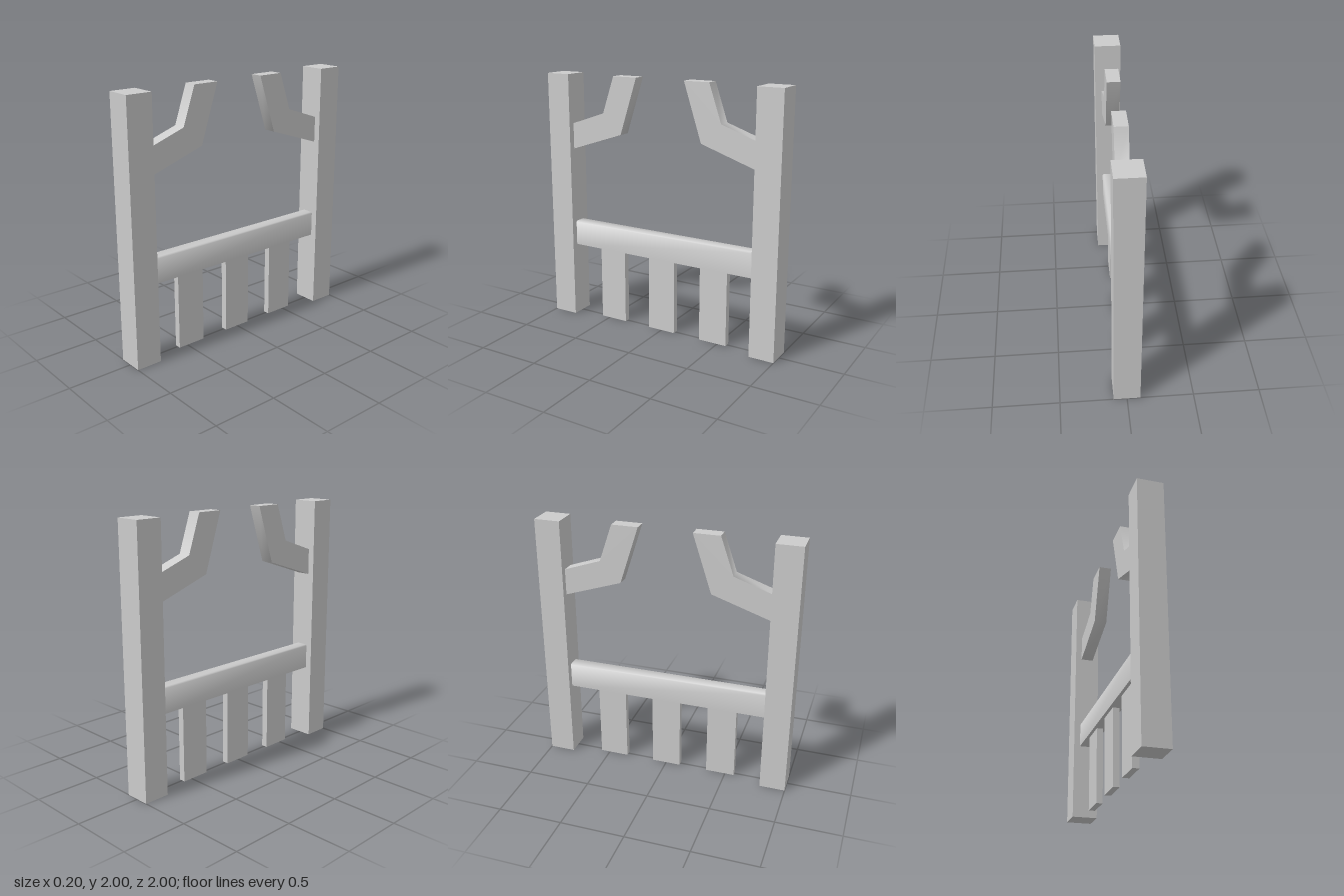
import * as THREE from 'three';
import { toCreasedNormals } from 'three/addons/utils/BufferGeometryUtils.js';

const grey = new THREE.MeshStandardMaterial({ color: 0xcccccc });

function add(group, name, geometry, x = 0, y = 0, z = 0) {
  const mesh = new THREE.Mesh(geometry, grey);
  mesh.name = name;
  mesh.position.set(x, y, z);
  group.add(mesh);
  return mesh;
}

// Prism from a 2D outline, centred along its depth, smooth over gentle bends
function prism(points, depth) {
  const shape = new THREE.Shape(points.map(([a, b]) => new THREE.Vector2(a, b)));
  const geometry = new THREE.ExtrudeGeometry(shape, { depth, bevelEnabled: false });
  geometry.translate(0, 0, -depth / 2);
  return toCreasedNormals(geometry, 1);
}

export function createModel() {
  const model = new THREE.Group();
  model.name = 'gateFrame';

  // Bent arm outline as (z, y), turned so its thickness runs along x
  const armGeometry = prism([
    [0.8, 1.405], [0.8, 1.61], [0.51, 1.71], [0.41, 2], [0.205, 2], [0.35, 1.555],
  ], 0.1).rotateY(-Math.PI / 2);

  // End posts, each with a bent arm reaching inward and up
  for (const [side, s] of [['front', 1], ['back', -1]]) {
    add(model, side + 'Post', new THREE.BoxGeometry(0.2, 2, 0.2), 0, 1, 0.9 * s);
    const arm = add(model, side + 'Arm', armGeometry);
    if (s < 0) arm.rotation.y = Math.PI;
  }

  // Cross rail with softened top edges
  add(model, 'rail', prism([
    [-0.05, 0.6], [0.05, 0.6], [0.05, 0.79], [0.04, 0.8], [-0.04, 0.8], [-0.05, 0.79],
  ], 1.6));

  // Thin slats below the rail
  for (const i of [-1, 0, 1]) {
    add(model, 'slat', new THREE.BoxGeometry(0.05, 0.6, 0.23), 0, 0.3, 0.457 * i);
  }

  return model;
}
